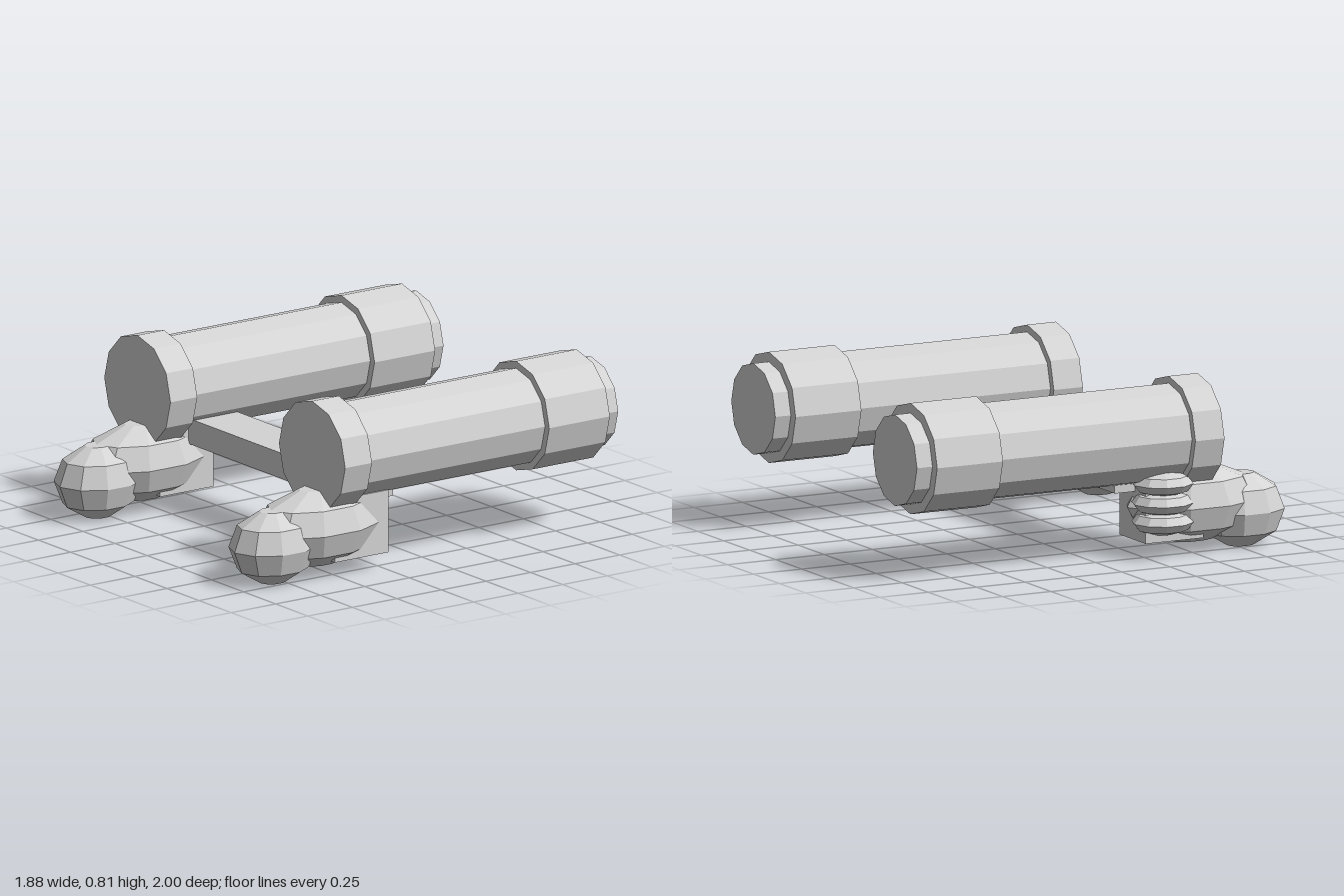
import * as THREE from 'three';

export function createModel() {
  const model = new THREE.Group();
  model.name = 'twinCannons';
  const grey = new THREE.MeshStandardMaterial({ color: 0xd4d4d4, flatShading: true });
  grey.name = 'lightGrey';

  function add(parent, name, geometry, x, y, z) {
    const mesh = new THREE.Mesh(geometry, grey);
    mesh.name = name;
    mesh.position.set(x, y, z);
    parent.add(mesh);
  }

  // Twelve-sided drum along z, from z0 to z1
  function drum(parent, name, radius, z0, z1) {
    const g = new THREE.CylinderGeometry(radius, radius, z1 - z0, 12).rotateX(Math.PI / 2);
    add(parent, name, g, 0, 0.557, (z0 + z1) / 2);
  }

  // Ten-sided low-poly ball with flat top and bottom
  function ball(rx, ry, rz) {
    const points = [new THREE.Vector2(0, -Math.sin(Math.PI * 0.4))];
    for (let i = -2; i <= 2; i++) {
      const a = i * Math.PI / 5;
      points.push(new THREE.Vector2(Math.cos(a), Math.sin(a)));
    }
    points.push(new THREE.Vector2(0, Math.sin(Math.PI * 0.4)));
    return new THREE.LatheGeometry(points, 10).scale(rx, ry, rz);
  }

  for (const [side, x] of [['left', 0.68], ['right', -0.68]]) {
    const unit = new THREE.Group();
    unit.name = side + 'Cannon';
    unit.position.x = x;
    model.add(unit);

    // Barrel with its collars
    drum(unit, 'frontCollar', 0.258, 0.415, 0.565);
    drum(unit, 'barrel', 0.225, -0.58, 0.415);
    drum(unit, 'rearCollar', 0.258, -0.92, -0.58);
    drum(unit, 'rearCap', 0.212, -1, -0.92);

    // Clenched hand under the front; both hands face the same way
    const hand = new THREE.Group();
    hand.name = side + 'Hand';
    unit.add(hand);
    add(hand, 'palmBlock', new THREE.BoxGeometry(0.25, 0.295, 0.3), 0.003, 0.222, 0.38);
    add(hand, 'fist', ball(0.202, 0.186, 0.33), 0, 0.225, 0.53);
    add(hand, 'frontBall', ball(0.178, 0.176, 0.215), 0, 0.168, 0.785);
    for (const y of [0.345, 0.255, 0.165]) {
      add(hand, 'finger', ball(0.137, 0.06, 0.145), -0.1, y, 0.33);
    }
  }

  // Bar joining the two barrels
  add(model, 'crossbar', new THREE.BoxGeometry(1.4, 0.12, 0.245), 0, 0.36, 0.248);
  return model;
}
